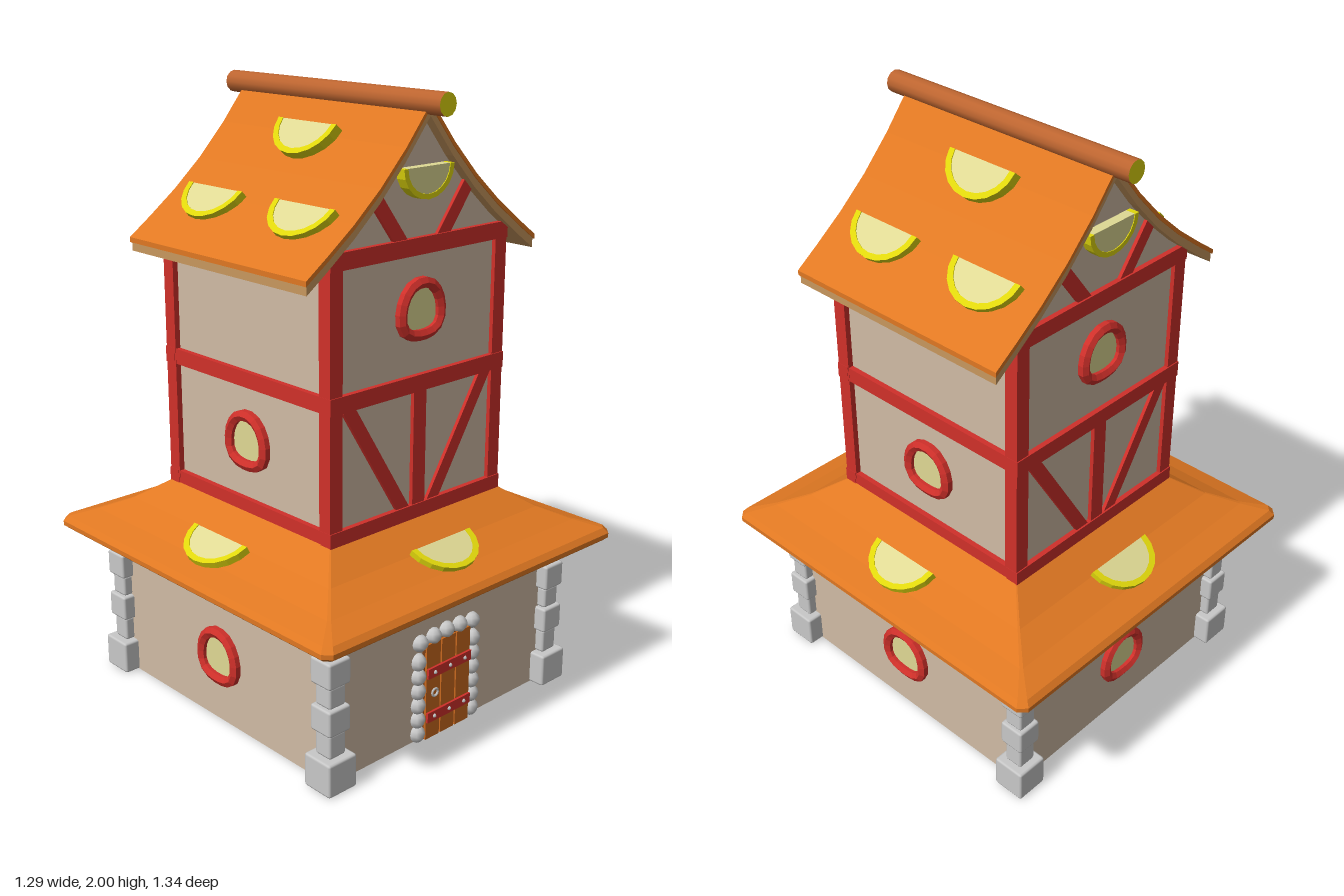
import * as THREE from 'three';
import { RoundedBoxGeometry } from 'three/addons/geometries/RoundedBoxGeometry.js';

const mat = (name, color, side = THREE.FrontSide) => {
  const m = new THREE.MeshStandardMaterial({ color, side });
  m.name = name;
  return m;
};

export function createModel() {
  const root = new THREE.Group();
  root.name = 'house';
  const M = {
    plaster: mat('plaster', 0xd0bba4, THREE.DoubleSide),
    roof: mat('roofOrange', 0xe07822, THREE.DoubleSide),
    under: mat('roofUnderside', 0xc8975e, THREE.DoubleSide),
    ridge: mat('ridgeWood', 0xbd6530),
    timber: mat('redTimber', 0xd0302a),
    stone: mat('stone', 0xc8c8c8),
    rind: mat('lemonRind', 0xe0d70c),
    pulp: mat('lemonPulp', 0xdfd994, THREE.DoubleSide),
    door: mat('doorWood', 0xc8681e),
    gap: mat('doorGap', 0x7a4018),
  };

  const add = (parent, name, geo, material, x = 0, y = 0, z = 0) => {
    const m = new THREE.Mesh(geo, material);
    m.name = name;
    m.position.set(x, y, z);
    parent.add(m);
    return m;
  };
  const box = (parent, name, w, h, d, material, x, y, z) =>
    add(parent, name, new THREE.BoxGeometry(w, h, d), material, x, y, z);
  const group = (name, angle = 0, parent = root) => {
    const g = new THREE.Group();
    g.name = name;
    g.rotation.order = 'YXZ';
    g.rotation.y = angle;
    parent.add(g);
    return g;
  };
  const flat = (geo) => {
    const g = geo.index ? geo.toNonIndexed() : geo;
    g.computeVertexNormals();
    return g;
  };

  // Surface through rectangular rings [halfX, halfZ, y, corner chamfer]
  const loft = (rings) => {
    const pos = [], idx = [];
    for (const [a, b, y, c] of rings) {
      const p = [[a, b - c], [a, c - b], [a - c, -b], [c - a, -b], [-a, c - b], [-a, b - c], [c - a, b], [a - c, b]];
      for (const [x, z] of p) pos.push(x, y, z);
    }
    for (let r = 0; r < rings.length - 1; r++) {
      for (let i = 0; i < 8; i++) {
        const a = r * 8 + i, b = r * 8 + (i + 1) % 8;
        idx.push(a, b, b + 8, a, b + 8, a + 8);
      }
    }
    const g = new THREE.BufferGeometry();
    g.setAttribute('position', new THREE.Float32BufferAttribute(pos, 3));
    g.setIndex(idx);
    return flat(g);
  };
  const extrude = (points, depth) => {
    const g = new THREE.ExtrudeGeometry(new THREE.Shape(points), { depth, bevelEnabled: false });
    return g.translate(0, 0, -depth / 2);
  };
  const v2 = (x, y) => new THREE.Vector2(x, y);

  // Ground floor walls, open below, and the flared roof above them
  add(root, 'lowerWalls', loft([[0.49, 0.515, 0, 0.004], [0.49, 0.515, 0.53, 0.004]]), M.plaster);
  add(root, 'lowerRoof', loft([
    [0.628, 0.653, 0.512, 0.02], [0.643, 0.668, 0.525, 0.025], [0.643, 0.668, 0.54, 0.025],
    [0.628, 0.653, 0.557, 0.02], [0.55, 0.575, 0.583, 0.008], [0.465, 0.485, 0.625, 0.005],
    [0.37, 0.385, 0.695, 0.003]]), M.roof);
  add(root, 'lowerRoofUnderside', loft([
    [0.4, 0.42, 0.585, 0.004], [0.49, 0.515, 0.535, 0.005], [0.628, 0.653, 0.512, 0.02]]), M.under);
  box(root, 'ceiling', 0.72, 0.01, 0.75, M.roof, 0, 0.67, 0);

  // Corner stone stacks: [width, bottom, top]
  const stones = [[0.112, 0, 0.11], [0.065, 0.11, 0.19], [0.086, 0.19, 0.275],
    [0.065, 0.275, 0.345], [0.086, 0.345, 0.43], [0.065, 0.43, 0.51]];
  for (const sx of [-1, 1]) for (const sz of [-1, 1]) {
    const pillar = group('cornerStones');
    pillar.position.set(sx * 0.488, 0, sz * 0.514);
    for (const [w, a, b] of stones)
      add(pillar, 'cornerStone', new RoundedBoxGeometry(w, b - a, w, 1, 0.008), M.stone, 0, (a + b) / 2, 0);
  }

  // Tower body, rising to the gables
  add(root, 'towerWalls', extrude([v2(-0.355, 0.68), v2(0.355, 0.68), v2(0.355, 1.58), v2(0.2, 1.71),
    v2(0.1, 1.815), v2(0, 1.93), v2(-0.1, 1.815), v2(-0.2, 1.71), v2(-0.355, 1.58)], 0.75), M.plaster);

  // Upper roof: bent sheet over a paler board layer
  const slope = [[0, 1.97], [0.1, 1.847], [0.2, 1.742], [0.3, 1.654], [0.4, 1.578], [0.478, 1.522]];
  const sheet = (top, bottom, reach) => {
    const line = (d) => [...slope.slice(1).reverse().map(([x, y]) => v2(-x * reach, y - d)),
      ...slope.map(([x, y]) => v2(x * reach, y - d))];
    return [...line(bottom), ...line(top).reverse()];
  };
  add(root, 'upperRoof', extrude(sheet(0, 0.016, 1.01), 0.824), M.roof);
  add(root, 'upperRoofBoards', extrude(sheet(0.012, 0.043, 1), 0.816), M.under);
  const ridge = new THREE.CylinderGeometry(0.035, 0.035, 0.95, 12).rotateX(Math.PI / 2);
  add(root, 'ridgePole', ridge, [M.ridge, M.rind, M.rind], 0, 1.965, 0);

  // Round-topped window with a thick frame
  const half = [[0.045, -0.077], [0.078, -0.05], [0.079, 0.015], [0.047, 0.064]];
  const outline = [...half, [0, 0.079], ...half.slice().reverse().map(([x, y]) => [-x, y])];
  const path = new THREE.CatmullRomCurve3(outline.map(([x, y]) => new THREE.Vector3(x, y, 0)), true);
  const frameGeo = flat(new THREE.TubeGeometry(path, 18, 0.019, 6, true));
  const glassGeo = new THREE.ShapeGeometry(new THREE.Shape(outline.map(([x, y]) => v2(x, y))));
  const windowAt = (angle, y, dist) => {
    const g = group('window', angle);
    add(g, 'windowFrame', frameGeo, M.timber, 0, y, dist + 0.008);
    add(g, 'windowGlass', glassGeo, M.pulp, 0, y, dist + 0.006);
  };

  // Half lemon slice, flat edge up, lying on a surface tilted back by the given angle
  const arc = (r) => Array.from({ length: 11 }, (_, i) => {
    const a = Math.PI + i * Math.PI / 10;
    return v2(r * Math.cos(a), 0.92 * r * Math.sin(a));
  });
  const slice = (angle, x, y, dist, tilt, r = 0.13) => {
    const side = group('lemonSlice', angle);
    const g = group('sliceTilt', 0, side);
    g.position.set(x, y, dist);
    g.rotation.x = -tilt * Math.PI / 180;
    add(g, 'sliceRind', extrude([...arc(r), ...arc(r * 0.84).reverse()], 0.036), M.rind, 0, 0, 0.013);
    add(g, 'slicePulp', extrude(arc(r * 0.845), 0.031), M.pulp, 0, 0, 0.013);
  };

  // Straight timber between two points on a facade
  const beam = (parent, x1, y1, x2, y2, z, w = 0.045) => {
    const m = box(parent, 'brace', w, Math.hypot(x2 - x1, y2 - y1), 0.025, M.timber, (x1 + x2) / 2, (y1 + y2) / 2, z);
    m.rotation.z = -Math.atan2(x2 - x1, y2 - y1);
  };

  // Front and back facades
  for (const angle of [0, Math.PI]) {
    const f = group('gableTimbers', angle);
    for (const y of [0.71, 1.128, 1.55])
      box(f, 'crossBeam', 0.75, 0.052, 0.045, M.timber, 0, y, 0.37);
    box(f, 'centrePost', 0.054, 0.38, 0.025, M.timber, 0, 0.92, 0.376);
    for (const s of [-1, 1]) {
      box(f, 'cornerPost', 0.05, 0.84, 0.047, M.timber, s * 0.349, 1.13, 0.3655);
      beam(f, s * 0.06, 0.725, s * 0.3, 1.11, 0.374);
      beam(f, s * 0.08, 1.56, s * 0.197, 1.715, 0.374);
    }
    windowAt(angle, 1.36, 0.376);
    slice(angle, 0, 1.785, 0.378, 0, 0.105);
    slice(angle, 0, 0.618, 0.475, 63);
  }
  windowAt(Math.PI, 0.235, 0.515);

  // Left and right sides
  for (const s of [-1, 1]) {
    const angle = s * Math.PI / 2;
    const f = group('sideTimbers', angle);
    for (const y of [0.71, 1.128])
      box(f, 'sideBeam', 0.7, 0.05, 0.04, M.timber, 0, y, 0.353);
    windowAt(angle, 0.93, 0.356);
    windowAt(angle, 0.235, 0.49);
    slice(angle, 0, 0.618, 0.465, 63);
    slice(angle, 0, 1.867, 0.085, 41);
    for (const x of [-0.205, 0.205]) slice(angle, x, 1.663, 0.283, 48);
  }

  // Plank door with straps, rivets, ring handle and stone surround
  const door = group('door');
  door.position.z = 0.515;
  box(door, 'doorBacking', 0.2, 0.33, 0.012, M.gap, 0, 0.165, 0.004);
  for (const x of [-0.068, 0, 0.068])
    box(door, 'doorPlank', 0.062, 0.33, 0.02, M.door, x, 0.165, 0.008);
  for (const y of [0.078, 0.232]) {
    box(door, 'doorStrap', 0.196, 0.034, 0.01, M.timber, 0, y, 0.021);
    for (const x of [-0.068, 0, 0.068])
      add(door, 'rivet', new THREE.SphereGeometry(0.007, 6, 4), M.stone, x, y, 0.026);
  }
  add(door, 'doorRing', new THREE.TorusGeometry(0.013, 0.004, 5, 10), M.stone, -0.062, 0.157, 0.021);
  const pebble = new THREE.SphereGeometry(0.03, 8, 6);
  for (const s of [-1, 1]) for (let i = 0; i < 6; i++)
    add(door, 'doorStone', pebble, M.stone, s * 0.124, 0.028 + i * 0.05, 0.004).scale.set(0.9, 1, 0.9);
  for (let i = -2; i <= 2; i++)
    add(door, 'archStone', pebble, M.stone, i * 0.059, 0.349 - 0.002 * i * i, 0.004).scale.set(1, 0.9, 0.9);

  return root;
}
